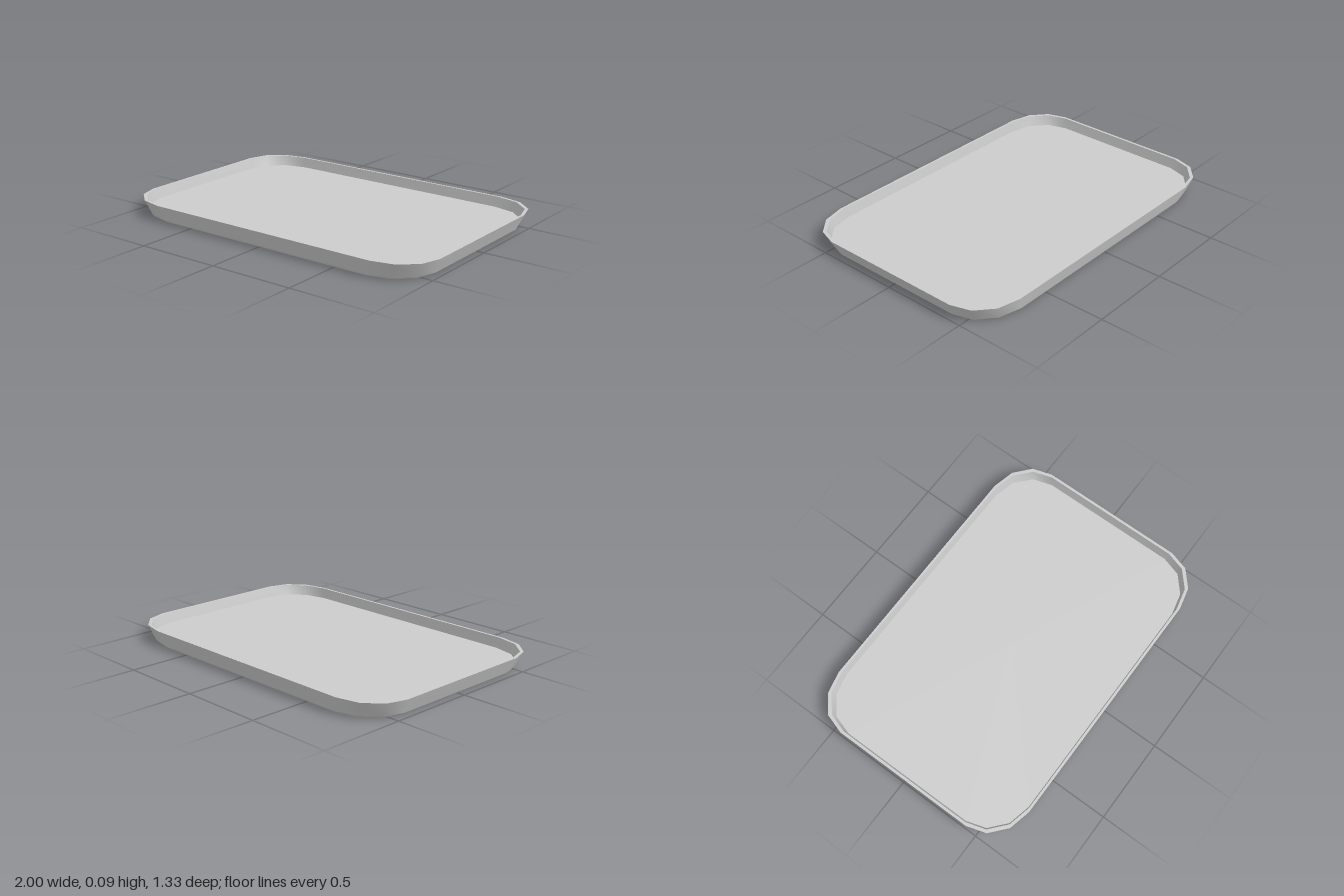
import * as THREE from 'three';

const CORNER_X = 0.265, CORNER_Z = 0.23, STEPS = 3;

// Rounded-rectangle loop [x, y, z], running from +x towards +z; zero size collapses to the centre
function outline([halfX, halfZ, y]) {
  const points = [];
  for (let corner = 0; corner < 4; corner++) {
    const sx = corner === 0 || corner === 3 ? 1 : -1;
    const sz = corner < 2 ? 1 : -1;
    for (let i = 0; i <= STEPS; i++) {
      const a = (corner + i / STEPS) * Math.PI / 2;
      points.push(halfX === 0 ? [0, y, 0] : [
        sx * (halfX - CORNER_X) + CORNER_X * Math.cos(a),
        y,
        sz * (halfZ - CORNER_Z) + CORNER_Z * Math.sin(a),
      ]);
    }
  }
  return points;
}

// Smooth strip joining two loops; separate strips keep the edges between them sharp
function band(name, from, to, material) {
  const a = outline(from), b = outline(to), n = a.length;
  const index = [];
  for (let i = 0; i < n; i++) {
    const j = (i + 1) % n;
    if (from[0] > 0) index.push(i, n + j, j);
    if (to[0] > 0) index.push(i, n + i, n + j);
    else index[index.length - 2] = n + i;
  }
  const geometry = new THREE.BufferGeometry();
  geometry.setAttribute('position', new THREE.Float32BufferAttribute([...a, ...b].flat(), 3));
  geometry.setIndex(index);
  geometry.computeVertexNormals();
  const mesh = new THREE.Mesh(geometry, material);
  mesh.name = name;
  return mesh;
}

export function createModel() {
  const tray = new THREE.Group();
  tray.name = 'tray';
  const material = new THREE.MeshStandardMaterial({ color: 0xcccccc });

  // Cross-section from the middle of the underside, over the rim, to the middle of the floor
  const sections = [
    [0, 0, 0],
    [0.955, 0.638, 0],
    [0.963, 0.643, 0.009],
    [1, 0.667, 0.095],
    [0.985, 0.653, 0.095],
    [0.97, 0.642, 0.035],
    [0, 0, 0.035],
  ];
  const names = ['underside', 'bottomBevel', 'outerWall', 'rim', 'innerWall', 'floor'];
  names.forEach((name, i) => tray.add(band(name, sections[i], sections[i + 1], material)));
  return tray;
}
